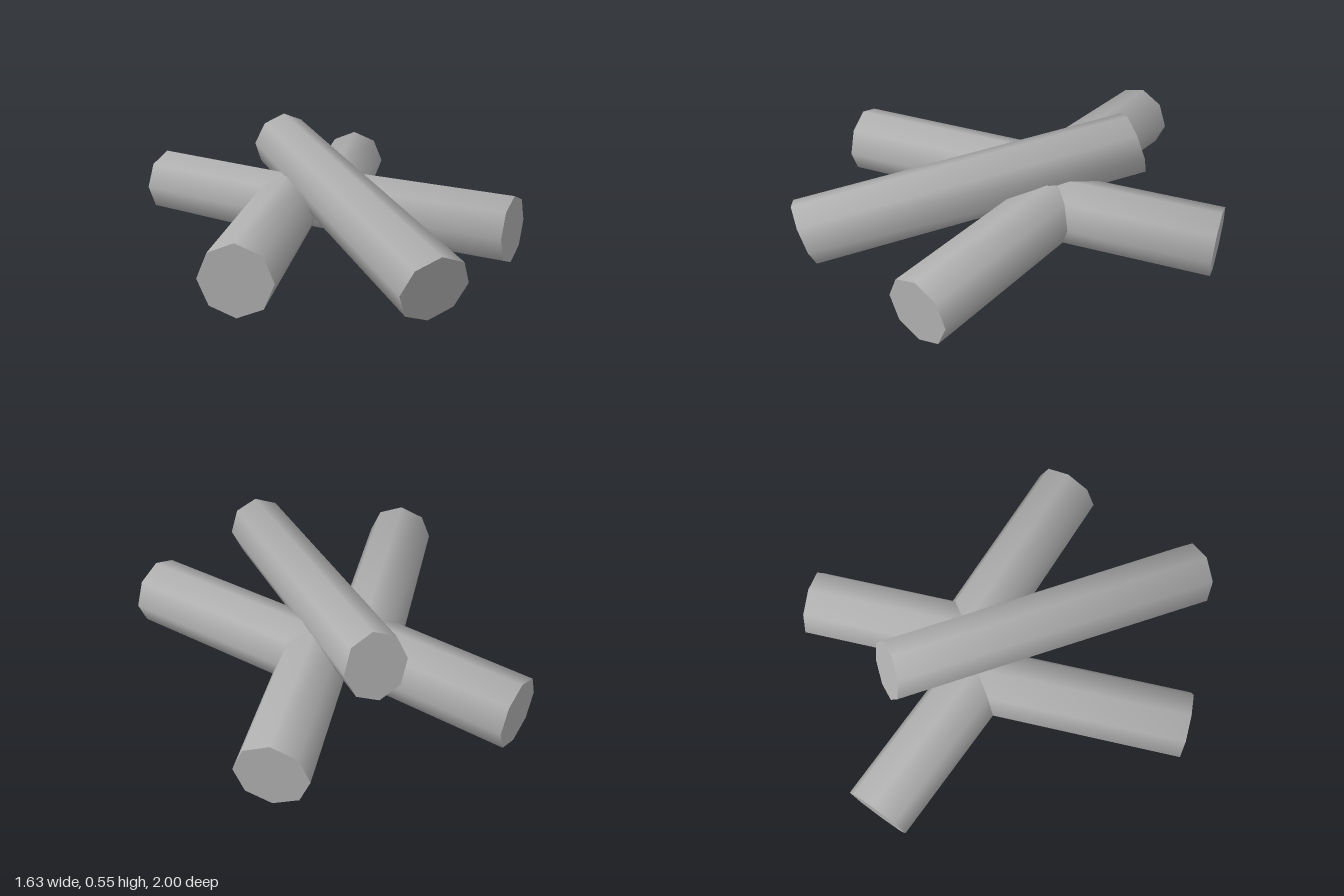
import * as THREE from 'three';

const SIDES = 8;
const UP = new THREE.Vector3(0, 1, 0);
const vec = (x, y, z) => new THREE.Vector3(x, y, z);

// One octagonal cross-section: centre c, half-width vector u, half-height vector v
const ring = (c, u, v) => ({ c, u, v });
const corner = (r, i) => {
  const a = (i / SIDES) * Math.PI * 2;
  return r.c.clone().addScaledVector(r.u, Math.cos(a)).addScaledVector(r.v, Math.sin(a));
};

// Skins a log through its rings (back to front) and closes both ends.
// Side normals lean outwards at the ends, which gives the soft shading.
function logGeometry(rings) {
  const pos = [], nor = [];
  const put = (p, n) => { pos.push(p.x, p.y, p.z); nor.push(n.x, n.y, n.z); };
  const last = rings.length - 1;

  for (let k = 0; k < last; k++) {
    const a = rings[k], b = rings[k + 1];
    const d = b.c.clone().sub(a.c).normalize();
    const side = UP.clone().cross(d).normalize();
    const up = d.clone().cross(side);
    const normal = (i, lean) => {
      const t = (i / SIDES) * Math.PI * 2;
      return side.clone().multiplyScalar(Math.cos(t)).addScaledVector(up, Math.sin(t))
        .addScaledVector(d, lean).normalize();
    };
    const leanA = k === 0 ? -0.4 : 0, leanB = k + 1 === last ? 0.4 : 0;
    for (let i = 0; i < SIDES; i++) {
      const quad = [
        [corner(a, i), normal(i, leanA)], [corner(a, i + 1), normal(i + 1, leanA)],
        [corner(b, i + 1), normal(i + 1, leanB)], [corner(b, i), normal(i, leanB)],
      ];
      for (const j of [0, 1, 2, 0, 2, 3]) put(...quad[j]);
    }
  }

  // End caps
  for (const [r, sign] of [[rings[0], -1], [rings[last], 1]]) {
    const n = r.u.clone().cross(r.v).normalize().multiplyScalar(sign);
    for (let i = 0; i < SIDES; i++) {
      const p = corner(r, i), q = corner(r, i + 1);
      put(r.c, n);
      put(sign > 0 ? p : q, n);
      put(sign > 0 ? q : p, n);
    }
  }

  const g = new THREE.BufferGeometry();
  g.setAttribute('position', new THREE.Float32BufferAttribute(pos, 3));
  g.setAttribute('normal', new THREE.Float32BufferAttribute(nor, 3));
  return g;
}

// A flat-lying log bent at its elbow, mitred there
function bentLog(back, elbow, front) {
  const radius = 0.162;
  const endRing = (end, from, to) => {
    const s = UP.clone().cross(to.clone().sub(from)).normalize();
    return ring(end, s.multiplyScalar(radius), vec(0, radius, 0));
  };
  return logGeometry([
    endRing(back, back, elbow),
    ring(elbow, vec(0.198, 0, 0), vec(0, radius, 0)),
    endRing(front, elbow, front),
  ]);
}

export function createModel() {
  const group = new THREE.Group();
  const wood = new THREE.MeshStandardMaterial({ color: 0xb0b0b0 });
  wood.name = 'greyWood';
  const add = (name, geometry) => {
    const mesh = new THREE.Mesh(geometry, wood);
    mesh.name = name;
    group.add(mesh);
  };

  // Two bent logs lying back to back, forming a cross
  add('rightLog', bentLog(vec(-0.527, 0.173, -0.917), vec(-0.1, 0.167, -0.255), vec(-0.686, 0.173, 0.575)));
  add('leftLog', bentLog(vec(0.575, 0.173, -0.86), vec(0.128, 0.167, -0.222), vec(0.68, 0.173, 0.548)));

  // Log leaning over the cross, its front end on the ground
  add('leaningLog', logGeometry([
    ring(vec(0.024, 0.397, -0.645), vec(0.147, 0, 0), vec(0, 0.153, 0.045)),
    ring(vec(0.01, 0.157, 0.955), vec(0.16, 0, 0), vec(0, 0.153, 0.045)),
  ]));

  return group;
}
